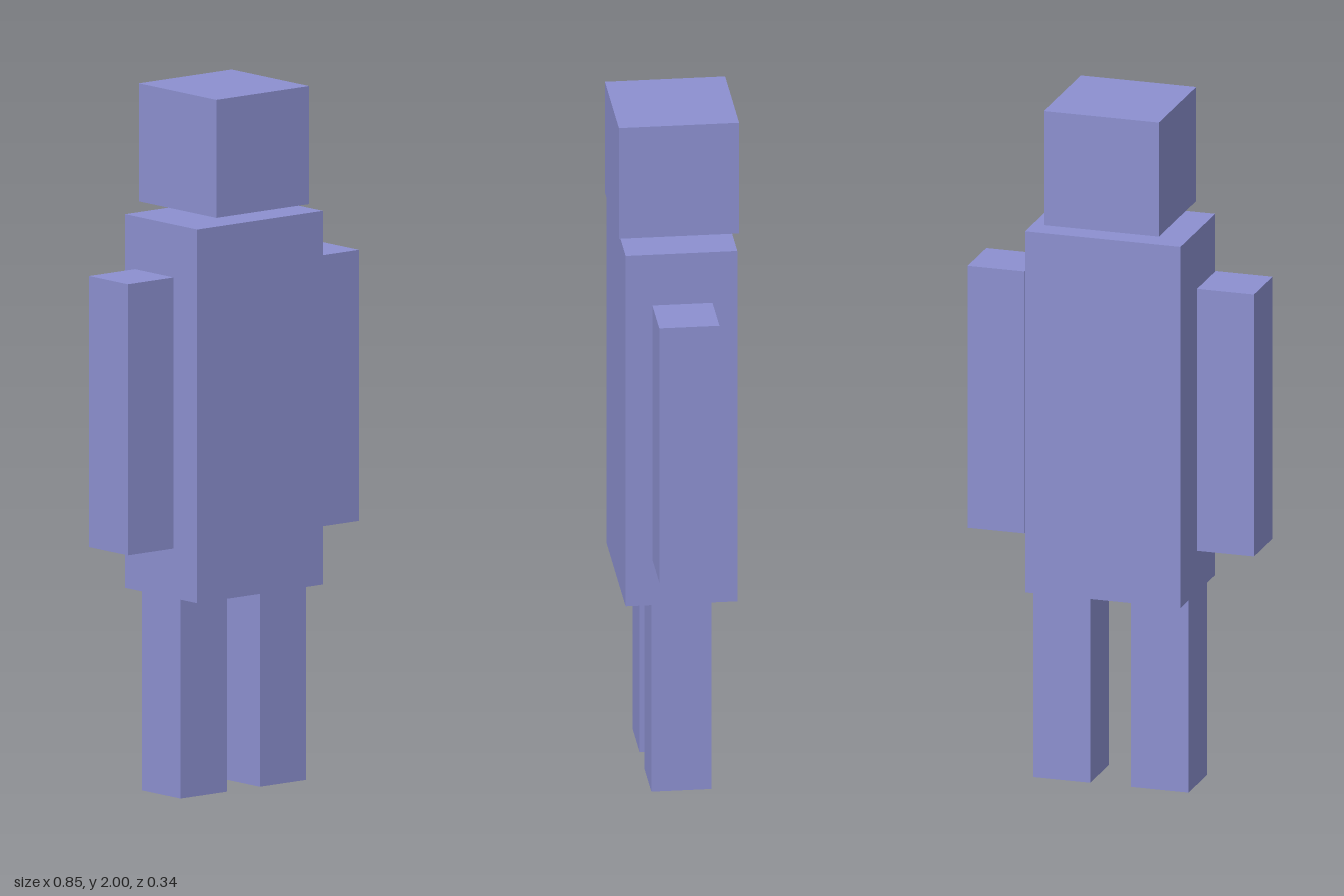
import * as THREE from 'three';

export function createModel() {
  const model = new THREE.Group();
  model.name = 'blockFigure';
  const material = new THREE.MeshStandardMaterial({ color: 0x8c90d0, flatShading: true });

  // A block standing with its underside at the given height
  function addBlock(name, width, height, depth, x, bottom) {
    const mesh = new THREE.Mesh(new THREE.BoxGeometry(width, height, depth), material);
    mesh.name = name;
    mesh.position.set(x, bottom + height / 2, 0);
    model.add(mesh);
  }

  addBlock('head', 0.34, 0.337, 0.34, 0, 1.663);
  addBlock('torso', 0.46, 1.067, 0.316, 0, 0.568);

  // Mirrored limbs
  for (const [side, sign] of [['left', 1], ['right', -1]]) {
    addBlock(side + 'Arm', 0.168, 0.774, 0.17, sign * 0.339, 0.717);
    addBlock(side + 'Leg', 0.17, 0.568, 0.17, sign * 0.145, 0);
  }

  return model;
}
